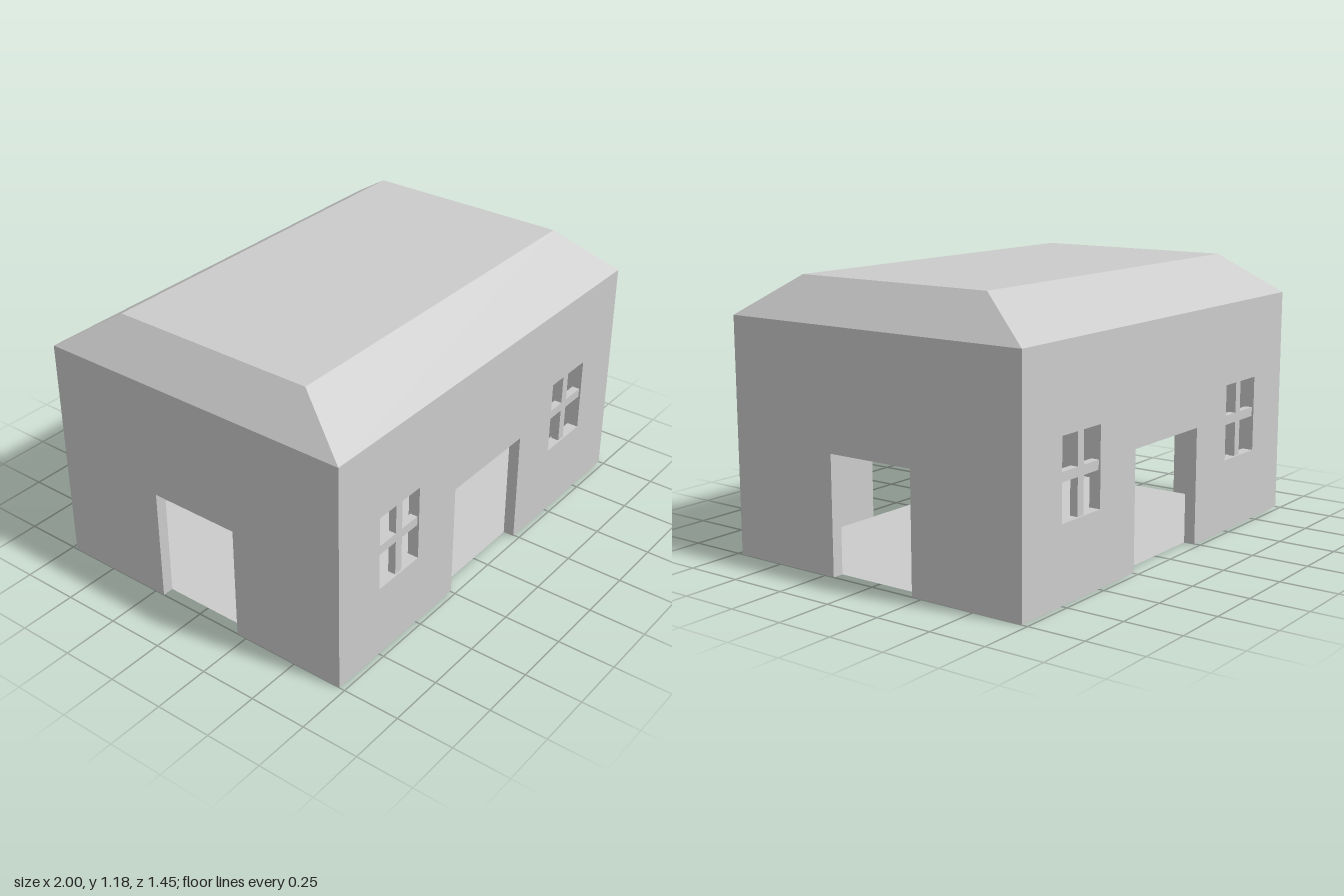
import * as THREE from 'three';

const W = 1, D = 0.725, H = 1.01, T = 0.05; // half width, half depth, wall height, wall thickness
const mat = new THREE.MeshStandardMaterial({ color: 0xcccccc, flatShading: true });
const sheetMat = new THREE.MeshStandardMaterial({ color: 0xcccccc, side: THREE.DoubleSide });
const win = { x: 0.622, y: 0.487, w: 0.256, h: 0.335 };

function add(parent, name, geometry, x = 0, y = 0, z = 0, material = mat) {
  const mesh = new THREE.Mesh(geometry, material);
  mesh.name = name;
  mesh.position.set(x, y, z);
  parent.add(mesh);
  return mesh;
}

// Wall panel with a doorway cut from its lower edge and optional window holes
function wallGeometry(half, doorHalf, doorHeight, windowXs) {
  const shape = new THREE.Shape([
    [-half, 0], [-doorHalf, 0], [-doorHalf, doorHeight], [doorHalf, doorHeight],
    [doorHalf, 0], [half, 0], [half, H], [-half, H],
  ].map(([x, y]) => new THREE.Vector2(x, y)));
  for (const x of windowXs) {
    const l = x - win.w / 2, r = x + win.w / 2, b = win.y - win.h / 2, t = win.y + win.h / 2;
    shape.holes.push(new THREE.Path([[l, b], [l, t], [r, t], [r, b]].map(([u, v]) => new THREE.Vector2(u, v))));
  }
  return new THREE.ExtrudeGeometry(shape, { depth: T, bevelEnabled: false });
}

// Front or back wall with two windows divided by crossing bars
function longWall(name) {
  const group = new THREE.Group();
  group.name = name;
  add(group, 'wallPanel', wallGeometry(W, 0.243, 0.51, [-win.x, win.x]), 0, 0, D - T);
  for (const s of [-1, 1]) {
    const z = D - T / 2, bar = 0.04, depth = 0.034;
    add(group, 'windowUpright', new THREE.BoxGeometry(bar, win.h, depth), s * win.x * 0.99, win.y, z);
    add(group, 'windowCrossbar', new THREE.BoxGeometry(win.w, bar, depth), s * win.x, win.y + 0.008, z);
  }
  return group;
}

// Hipped roof with a flat top: a box whose upper corners are drawn in
function roofGeometry() {
  const height = 0.17;
  const geo = new THREE.BoxGeometry(2 * W, height, 2 * D).translate(0, height / 2, 0);
  const p = geo.attributes.position;
  for (let i = 0; i < p.count; i++) {
    if (p.getY(i) > 0) p.setXYZ(i, Math.sign(p.getX(i)) * 0.86, height, Math.sign(p.getZ(i)) * 0.465);
  }
  geo.computeVertexNormals();
  return geo;
}

export function createModel() {
  const house = new THREE.Group();
  house.name = 'house';

  // Long walls
  const back = longWall('backWall');
  back.rotation.y = Math.PI;
  house.add(longWall('frontWall'), back);

  // End walls fit between the long walls
  for (const s of [-1, 1]) {
    const wall = add(house, s > 0 ? 'leftWall' : 'rightWall', wallGeometry(D - T, 0.204, 0.505, []), s * (W - T));
    wall.rotation.y = s * Math.PI / 2;
  }

  // Floor inside the walls, and roof
  const floor = new THREE.PlaneGeometry(2 * (W - T), 2 * (D - T)).rotateX(-Math.PI / 2);
  add(house, 'floor', floor, 0, 0, 0, sheetMat);
  add(house, 'roof', roofGeometry(), 0, H, 0);
  return house;
}
